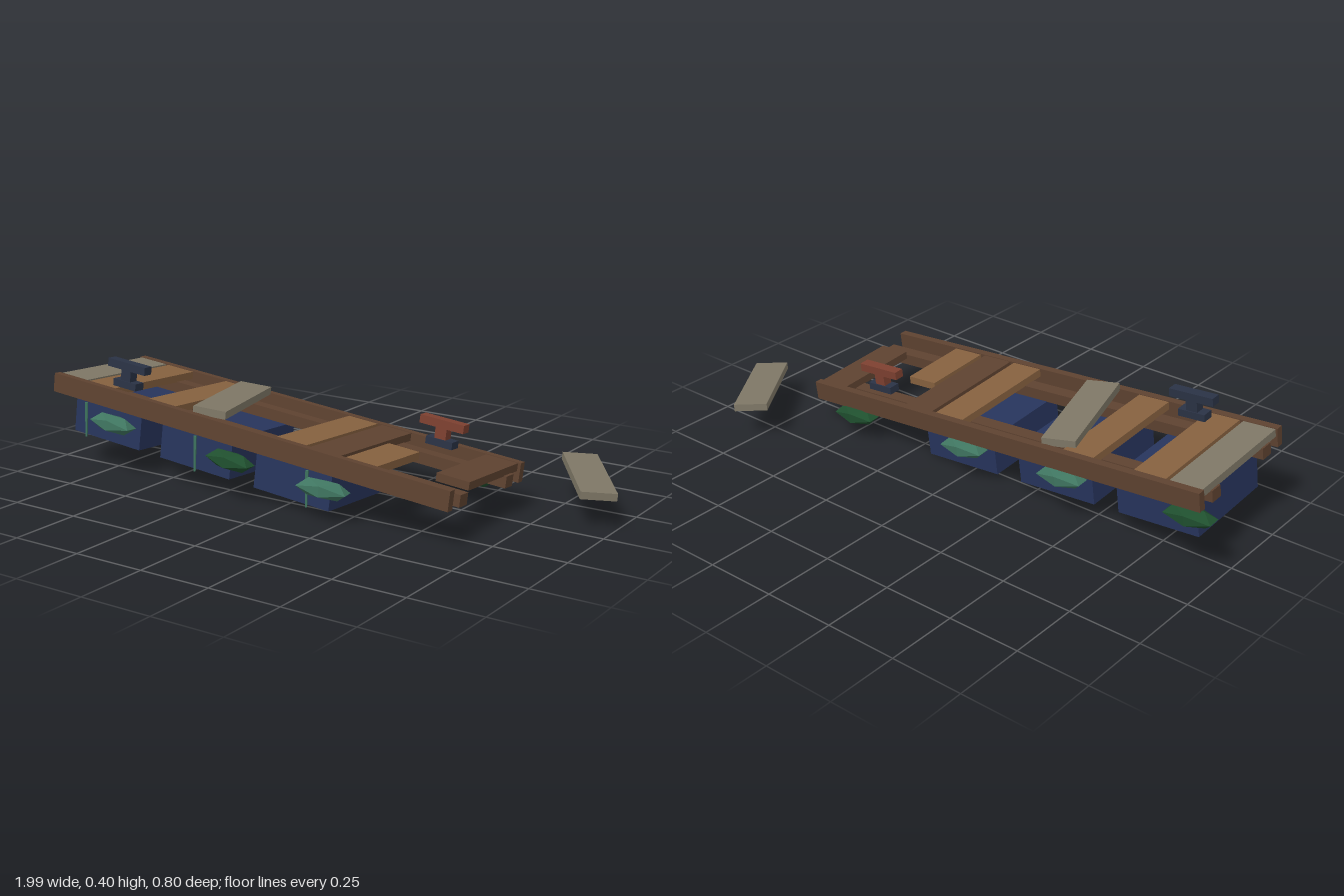
import * as THREE from 'three';

const mat = (color) => new THREE.MeshStandardMaterial({ color, flatShading: true });
const M = {
  brown: mat(0x5e4230), tan: mat(0x86613f), grey: mat(0x7e7766), navy: mat(0x27345c),
  iron: mat(0x2a3245), rust: mat(0x7d4030), paleWeed: mat(0x3f7560), darkWeed: mat(0x1f4f2e),
};

function box(parent, name, material, size, pos) {
  const mesh = new THREE.Mesh(new THREE.BoxGeometry(...size), material);
  mesh.name = name;
  mesh.position.set(...pos);
  parent.add(mesh);
  return mesh;
}

// T-shaped mooring cleat standing on the deck
function cleat(parent, name, x, z, material) {
  const g = new THREE.Group();
  g.name = name;
  g.position.set(x, 0, z);
  box(g, 'cleatBase', M.iron, [0.1, 0.025, 0.042], [0, 0.0125, 0]);
  box(g, 'cleatPost', material, [0.042, 0.04, 0.034], [0, 0.043, 0]);
  box(g, 'cleatBar', material, [0.165, 0.028, 0.036], [0, 0.076, 0]);
  parent.add(g);
}

export function createModel() {
  const model = new THREE.Group();
  model.name = 'brokenDock';

  // Listing dock; local y = 0 is the top of the deck
  const dock = new THREE.Group();
  dock.name = 'dock';
  dock.position.set(-0.14, 0.248, 0.115);
  dock.rotation.set(-0.06, 0, -0.09);
  model.add(dock);

  // Side rails and stringers
  for (const s of [-1, 1]) {
    box(dock, 'sideRail', M.brown, [1.61, 0.066, 0.027], [0, -0.033, s * 0.228]);
    box(dock, 'stringer', M.brown, [1.61, 0.04, 0.047], [0, -0.047, s * 0.148]);
  }

  // Deck planks: x centre, z from, z to, material
  const planks = [
    [-0.74, -0.216, 0.218, M.grey], [-0.61, -0.216, 0.218, M.tan], [-0.34, -0.216, 0.218, M.tan],
    [0.198, -0.216, 0.218, M.tan], [0.332, -0.216, 0.218, M.brown],
    [0.467, -0.045, 0.212, M.tan], [0.736, -0.216, 0.105, M.brown],
  ];
  for (const [x, z0, z1, m] of planks)
    box(dock, 'deckPlank', m, [0.117, 0.027, z1 - z0], [x, -0.0155, (z0 + z1) / 2]);
  const loose = box(dock, 'loosePlank', M.grey, [0.117, 0.027, 0.42], [-0.2, 0.008, 0]);
  loose.rotation.y = 0.27;

  // Floats
  for (const x of [-0.6, -0.205, 0.197])
    box(dock, 'float', M.navy, [0.3, 0.14, 0.35], [x, -0.136, 0.003]);

  cleat(dock, 'ironCleat', -0.53, 0.167, M.iron);
  cleat(dock, 'rustyCleat', 0.535, -0.167, M.rust);

  // Seaweed clumps: x, y, z, yaw, material
  const clump = new THREE.IcosahedronGeometry(1, 0);
  const weeds = [
    [-0.525, -0.118, 0.238, 0, M.paleWeed], [-0.015, -0.118, 0.238, 0, M.darkWeed],
    [0.355, -0.116, 0.238, 0.2, M.paleWeed],
    [-0.763, -0.092, -0.233, 0, M.darkWeed], [-0.28, -0.092, -0.233, 0, M.paleWeed],
    [0.128, -0.092, -0.233, 0, M.paleWeed], [0.625, -0.09, -0.233, 0, M.darkWeed],
  ];
  for (const [x, y, z, yaw, m] of weeds) {
    const w = new THREE.Mesh(clump, m);
    w.name = 'seaweedClump';
    w.position.set(x, y, z);
    w.rotation.y = yaw;
    w.scale.set(0.1, 0.034, 0.044);
    dock.add(w);
  }

  // Hanging seaweed strands
  const strandGeo = new THREE.CylinderGeometry(0.006, 0.004, 0.12, 5);
  for (const x of [-0.643, -0.158, 0.297]) {
    const strand = new THREE.Mesh(strandGeo, M.paleWeed);
    strand.name = 'seaweedStrand';
    strand.position.set(x, -0.13, 0.242);
    strand.rotation.z = 0.09;
    dock.add(strand);
  }

  // Plank adrift beside the dock
  const drift = box(model, 'driftingPlank', M.grey, [0.117, 0.025, 0.373], [0.845, 0.122, -0.215]);
  drift.rotation.set(0, 0.606, -0.09, 'ZYX');

  return model;
}
